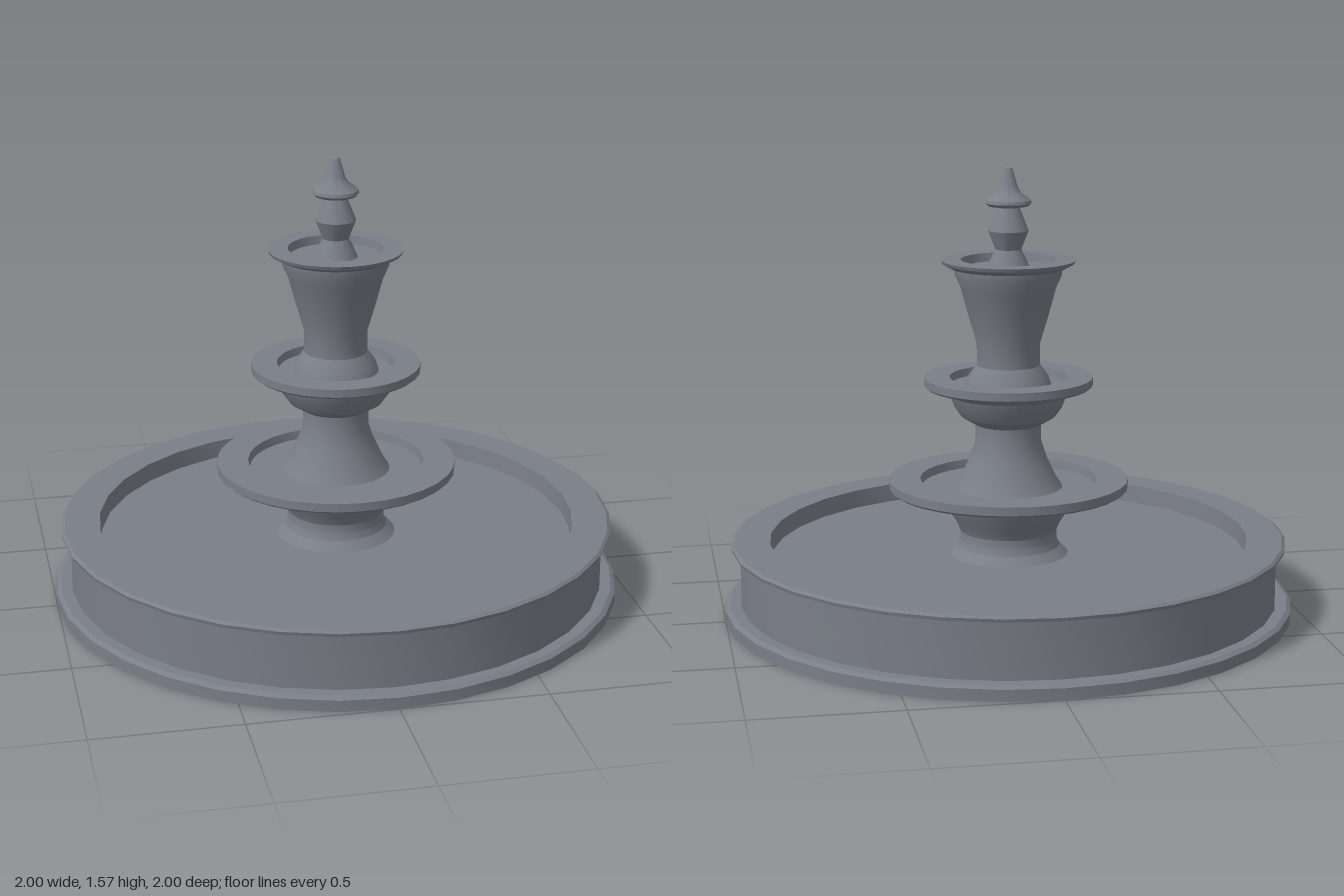
import * as THREE from 'three';
import { toCreasedNormals } from 'three/addons/utils/BufferGeometryUtils.js';

const SIDES = 32;

// Profiles are [radius, height], running from the outside up and inwards.
// Each part begins where the previous one ends, giving one open, hollow shell.
const PARTS = {
  // plinth lip, wall, rim and sunken floor
  basin: [
    [1.0, 0], [1.0, 0.04], [0.985, 0.05], [0.945, 0.05], [0.945, 0.25],
    [0.972, 0.25], [0.975, 0.262], [0.965, 0.27], [0.84, 0.27],
    [0.835, 0.205], [0.21, 0.205],
  ],
  lowerPedestal: [
    [0.21, 0.205], [0.18, 0.235], [0.17, 0.26], [0.17, 0.29],
    [0.185, 0.325], [0.222, 0.38], [0.23, 0.405],
  ],
  lowerBowl: [
    [0.23, 0.405], [0.27, 0.41], [0.41, 0.437], [0.42, 0.445], [0.42, 0.475],
    [0.31, 0.475], [0.305, 0.445], [0.19, 0.445],
  ],
  middlePedestal: [
    [0.19, 0.445], [0.17, 0.475], [0.135, 0.55], [0.115, 0.61], [0.115, 0.67],
    [0.165, 0.7], [0.19, 0.735], [0.205, 0.775],
  ],
  middleBowl: [
    [0.205, 0.775], [0.215, 0.785], [0.285, 0.802], [0.295, 0.81], [0.295, 0.838],
    [0.205, 0.838], [0.2, 0.81], [0.15, 0.81],
  ],
  upperPedestal: [
    [0.15, 0.81], [0.14, 0.84], [0.11, 0.88], [0.11, 0.955],
    [0.138, 1.05], [0.165, 1.15], [0.185, 1.195], [0.187, 1.22],
  ],
  upperBowl: [
    [0.187, 1.22], [0.2, 1.222], [0.23, 1.238], [0.235, 1.25],
    [0.165, 1.25], [0.16, 1.22], [0.075, 1.22],
  ],
  finial: [
    [0.075, 1.22], [0.062, 1.25], [0.045, 1.285], [0.07, 1.35], [0.038, 1.43],
    [0.07, 1.435], [0.08, 1.445], [0.077, 1.456], [0.045, 1.48], [0.032, 1.5],
    [0.014, 1.565], [0, 1.572],
  ],
};

export function createModel() {
  const stone = new THREE.MeshStandardMaterial({ color: 0x7a7e87, side: THREE.DoubleSide });
  stone.name = 'grey stone';

  const fountain = new THREE.Group();
  fountain.name = 'fountain';
  for (const [name, profile] of Object.entries(PARTS)) {
    const points = profile.map(([r, y]) => new THREE.Vector2(r, y));
    // smooth around the axis, crisp at the mouldings
    const geometry = toCreasedNormals(new THREE.LatheGeometry(points, SIDES), 0.4);
    const mesh = new THREE.Mesh(geometry, stone);
    mesh.name = name;
    fountain.add(mesh);
  }
  return fountain;
}
